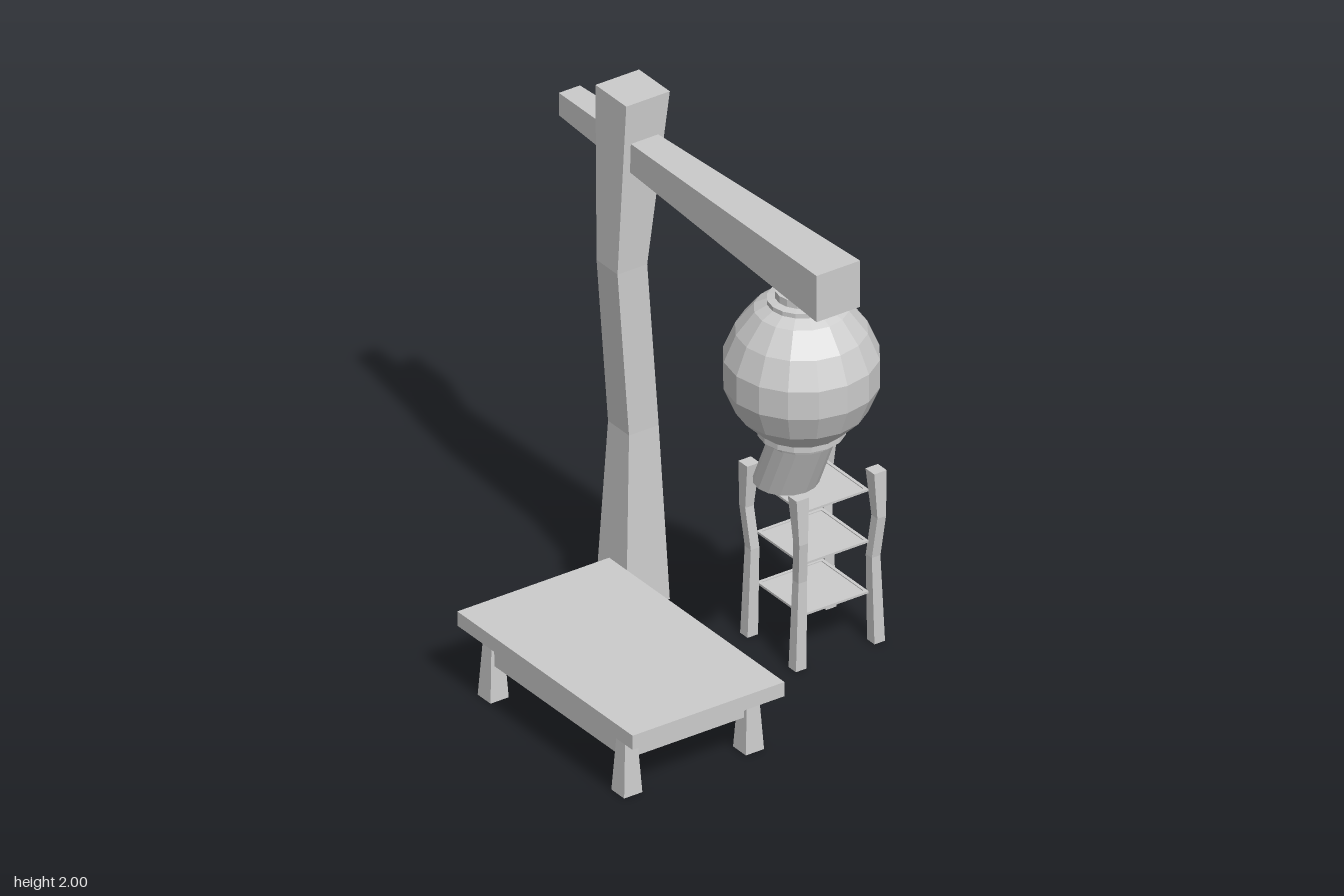
import * as THREE from 'three';

const material = new THREE.MeshStandardMaterial({ color: 0xcccccc, flatShading: true });

function add(parent, name, geometry, x = 0, y = 0, z = 0) {
  const mesh = new THREE.Mesh(geometry, material);
  mesh.name = name;
  mesh.position.set(x, y, z);
  parent.add(mesh);
  return mesh;
}

// Rectangular timber through rings of [y, centreX, centreZ, halfX, halfZ]
function timber(rings) {
  const n = rings.length - 1;
  const geometry = new THREE.BoxGeometry(2, 1, 2, 1, n, 1);
  const p = geometry.attributes.position;
  for (let i = 0; i < p.count; i++) {
    const [y, cx, cz, hx, hz] = rings[Math.round((p.getY(i) + 0.5) * n)];
    p.setXYZ(i, cx + p.getX(i) * hx, y, cz + p.getZ(i) * hz);
  }
  geometry.computeVertexNormals();
  return geometry;
}

function box(parent, name, w, h, d, x, y, z) {
  return add(parent, name, new THREE.BoxGeometry(w, h, d), x, y, z);
}

function group(parent, name, x, y, z) {
  const g = new THREE.Group();
  g.name = name;
  g.position.set(x, y, z);
  parent.add(g);
  return g;
}

function createGallows(model) {
  // Crooked post
  add(model, 'post', timber([
    [0, 0.155, -0.465, 0.091, 0.091],
    [0.68, 0.158, -0.465, 0.062, 0.062],
    [1.33, 0.11, -0.465, 0.062, 0.062],
    [2, 0.155, -0.465, 0.091, 0.091],
  ]));
  // Tapered beam, lofted along y and laid down along z
  add(model, 'beam', timber([
    [-0.825, 0.145, -1.785, 0.044, 0.044],
    [0.765, 0.145, -1.784, 0.091, 0.091],
  ]).rotateX(Math.PI / 2));
}

function createVessel(model) {
  const vessel = group(model, 'hangingVessel', 0.143, 0, 0.55);
  // Faceted globe with neck and lower flange
  const profile = [
    [0, 1.11], [0.125, 1.11], [0.132, 1.13], [0.154, 1.134], [0.154, 1.155], [0.23, 1.231],
    [0.272, 1.331], [0.272, 1.439], [0.23, 1.539], [0.165, 1.622], [0.12, 1.645],
    [0.12, 1.662], [0.092, 1.667], [0.092, 1.695], [0, 1.695],
  ].map(([r, y]) => new THREE.Vector2(r, y));
  add(vessel, 'globe', new THREE.LatheGeometry(profile, 16));
  // Slanting spout with level ends
  const spout = new THREE.CylinderGeometry(0.115, 0.115, 0.225, 16);
  const p = spout.attributes.position;
  for (let i = 0; i < p.count; i++) p.setZ(i, p.getZ(i) + p.getY(i) * 0.46);
  add(vessel, 'spout', spout, 0, 1.013, -0.04);
}

function createTable(model) {
  const table = group(model, 'table', -0.373, 0, 0.213);
  box(table, 'tableTop', 0.634, 0.056, 1.036, 0, 0.268, 0);
  for (const sx of [-1, 1]) {
    for (const sz of [-1, 1]) {
      add(table, 'tableLeg', timber([
        [0, 0, 0, 0.038, 0.038],
        [0.24, 0, 0, 0.024, 0.024],
      ]), sx * 0.254, 0, sz * 0.395);
    }
    box(table, 'sideRail', 0.03, 0.06, 0.77, sx * 0.254, 0.166, 0);
    box(table, 'endRail', 0.48, 0.06, 0.03, 0, 0.166, sx * 0.395);
  }
}

function createRack(model) {
  const rack = group(model, 'rack', 0.495, 0, 0.117);
  // Bent corner legs
  for (const sx of [-1, 1]) {
    for (const sz of [-1, 1]) {
      add(rack, 'rackLeg', timber([
        [0, sx * 0.164, sz * 0.143, 0.022, 0.022],
        [0.34, sx * 0.153, sz * 0.141, 0.018, 0.018],
        [0.5, sx * 0.163, sz * 0.16, 0.018, 0.018],
        [0.675, sx * 0.162, sz * 0.146, 0.026, 0.026],
      ]));
    }
  }
  // Thin shelves with a low rim
  for (const y of [0.195, 0.395, 0.597]) {
    box(rack, 'shelf', 0.274, 0.005, 0.274, 0, y - 0.002, 0);
    for (const s of [-1, 1]) {
      box(rack, 'shelfRim', 0.274, 0.008, 0.012, 0, y, s * 0.131);
      box(rack, 'shelfRim', 0.012, 0.008, 0.25, s * 0.131, y, 0);
    }
  }
}

export function createModel() {
  const model = new THREE.Group();
  model.name = 'hangingVesselSet';
  createGallows(model);
  createVessel(model);
  createTable(model);
  createRack(model);
  return model;
}
